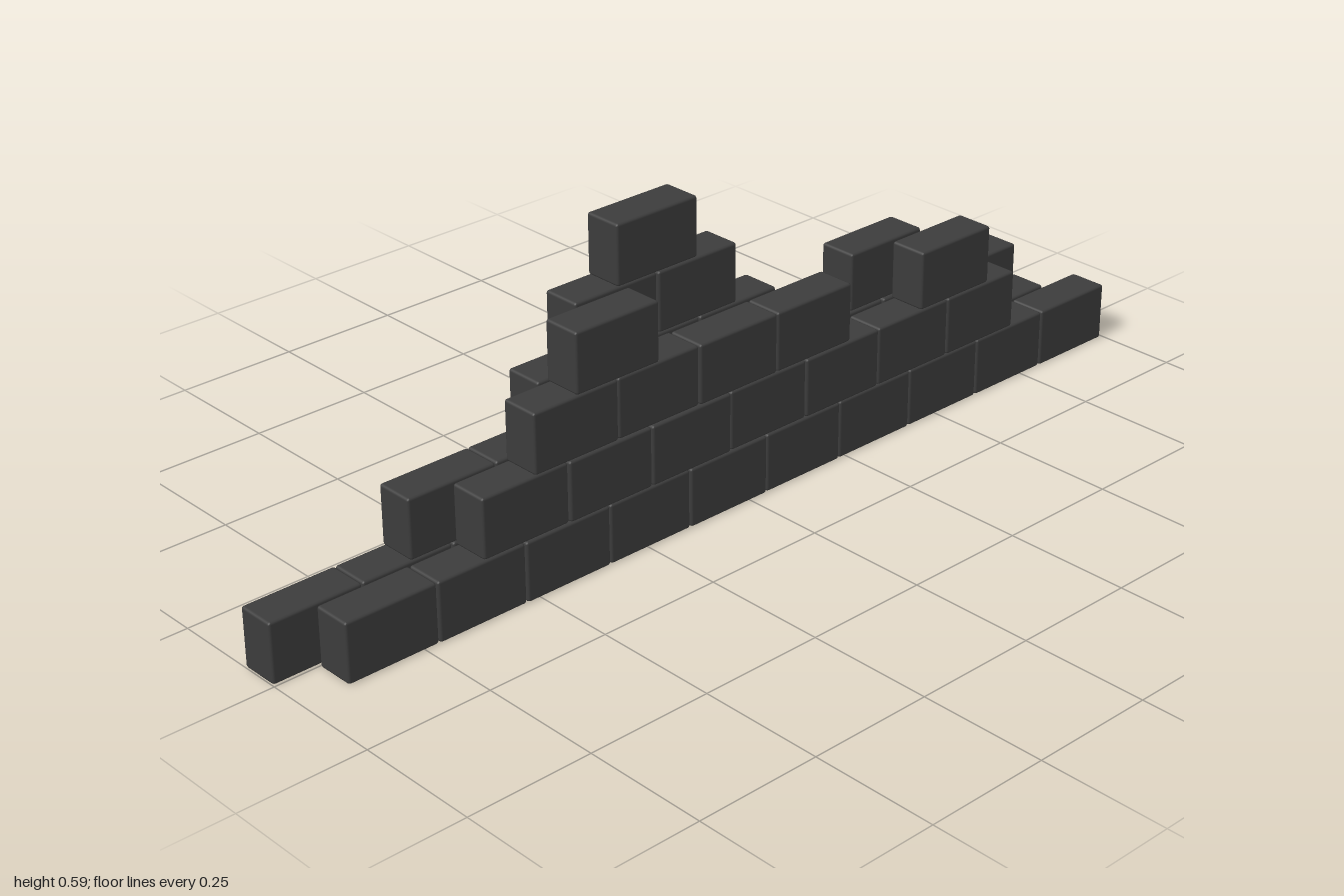
import * as THREE from 'three';
import { RoundedBoxGeometry } from 'three/addons/geometries/RoundedBoxGeometry.js';

const PITCH = 0.1905;   // brick spacing along a course
const COURSE = 0.119;   // course height

// runs of bricks: [course, left end x, number of bricks]
const FRONT = [
  [0, -0.91, 10],
  [1, -0.62, 7],
  [2, -0.505, 4], [2, 0.446, 1],
  [3, -0.41, 1],
];
const BACK = [
  [0, -1.0, 10],
  [1, -0.71, 8],
  [2, -0.425, 3], [2, 0.345, 1],
  [3, -0.335, 2],
  [4, -0.24, 1],
];

// small repeatable offset so the bricks look hand laid
function seeded(seed) {
  return () => {
    seed = (seed * 16807) % 2147483647;
    return seed / 2147483647 - 0.5;
  };
}

export function createModel() {
  const model = new THREE.Group();
  model.name = 'ruinedBrickWall';
  const material = new THREE.MeshStandardMaterial({ color: 0x3c3c3c });
  const brickGeometry = new RoundedBoxGeometry(0.1885, 0.118, 0.0785, 1, 0.005);
  const jitter = seeded(71);

  // one leaf of the wall, laid course by course
  function addLeaf(name, runs, z) {
    const leaf = new THREE.Group();
    leaf.name = name;
    for (const [course, start, count] of runs) {
      for (let i = 0; i < count; i++) {
        const brick = new THREE.Mesh(brickGeometry, material);
        brick.name = 'brick';
        brick.position.set(
          start + (i + 0.5) * PITCH,
          0.0595 + course * COURSE,
          z + jitter() * 0.004
        );
        leaf.add(brick);
      }
    }
    model.add(leaf);
  }

  addLeaf('frontLeaf', FRONT, 0.044);
  addLeaf('backLeaf', BACK, -0.041);
  return model;
}
